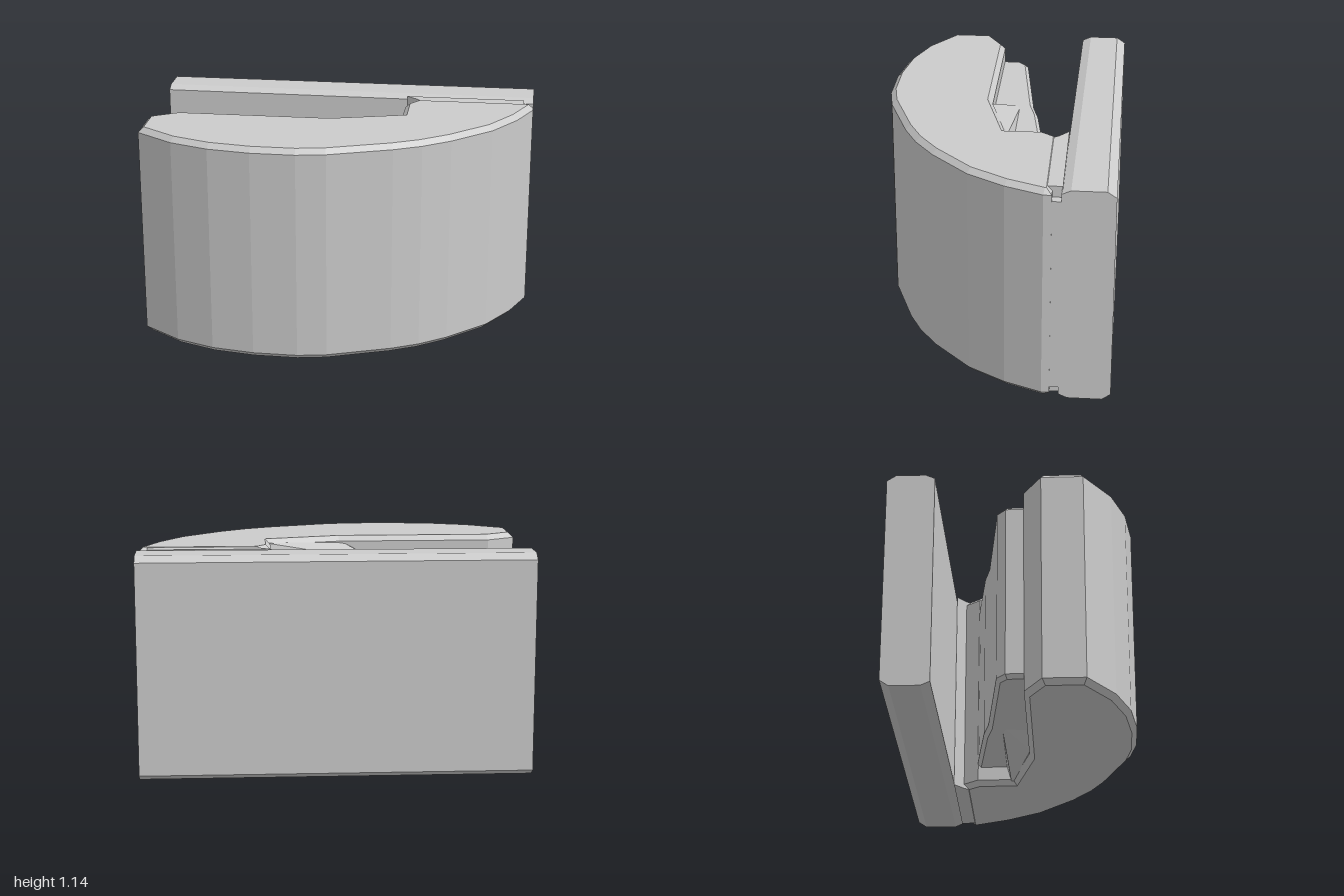
import * as THREE from 'three';
import { ConvexGeometry } from 'three/addons/geometries/ConvexGeometry.js';

const H = 1.145;
const material = new THREE.MeshStandardMaterial({ color: 0xcccccc, flatShading: true });

// Plan outline given as [x, z], extruded upward between y0 and y1 with chamfered rims.
function slab(outline, y0, y1, bevel) {
  const shape = new THREE.Shape(outline.map(([x, z]) => new THREE.Vector2(x, -z)));
  const geo = new THREE.ExtrudeGeometry(shape, {
    depth: y1 - y0 - 2 * bevel, bevelEnabled: bevel > 0, bevelSegments: 1,
    bevelSize: bevel, bevelThickness: bevel, bevelOffset: -bevel,
  });
  return geo.rotateX(-Math.PI / 2).translate(0, y0 + bevel, 0);
}

export function createModel() {
  const group = new THREE.Group();
  const add = (name, geo) => {
    const mesh = new THREE.Mesh(geo, material);
    mesh.name = name;
    group.add(mesh);
  };

  // Back plate: chamfered section swept along x, inner face tapering to the open end
  const section = [[-0.615, 0.03], [-0.57, 0], [-0.4, 0], [-0.355, 0.02],
    [-0.355, H - 0.02], [-0.4, H], [-0.57, H], [-0.615, H - 0.03]];
  const plate = new THREE.ExtrudeGeometry(
    new THREE.Shape(section.map(([z, y]) => new THREE.Vector2(-z, y))),
    { depth: 2, bevelEnabled: false });
  plate.rotateY(Math.PI / 2).translate(-1, 0, 0);
  const p = plate.attributes.position;
  for (let i = 0; i < p.count; i++) {
    if (p.getX(i) < 0 && p.getZ(i) > -0.45) p.setZ(i, p.getZ(i) - 0.02);
  }
  plate.computeVertexNormals();
  add('backPlate', plate);

  // Curved front jaw with a faceted outer face
  add('frontJaw', slab([
    [-1, 0.15], [-1, 0.36], [-0.8, 0.5], [-0.6, 0.575], [-0.38, 0.61], [-0.15, 0.613],
    [0, 0.587], [0.32, 0.47], [0.46, 0.4], [0.6, 0.3], [0.8, 0.11], [0.92, -0.08],
    [1, -0.27], [1, -0.31], [0.38, -0.31], [0.32, -0.23], [0.32, -0.04],
    [-0.05, 0.06], [-0.85, 0.06],
  ], 0, H, 0.027));

  // Hinge web joining jaw and plate, stepped at the side to leave small notches
  add('hingeWeb', slab([[0.32, -0.36], [0.38, -0.31], [0.42, -0.25], [0.95, -0.25],
    [0.95, -0.36]], 0.003, H - 0.003, 0));
  add('hingeSide', slab([[0.9, -0.36], [0.9, -0.28], [0.998, -0.28], [0.998, -0.36]],
    0.06, H - 0.06, 0));

  // Recessed grip pad inside the slot
  add('gripPad', slab([[-0.85, 0.1], [0.34, 0.1], [0.34, -0.235], [0.22, -0.22],
    [-0.1, -0.175], [-0.22, -0.145], [-0.8, -0.075], [-0.85, -0.03]], 0.1, H - 0.1, 0.02));

  // Sloping fillets between the pad and the jaw, top and bottom
  for (const top of [true, false]) {
    const pts = [[0.33, 0.02, -0.05], [-0.06, 0.03, 0.08], [0.33, 0.03, 0.08],
      [-0.23, 0.11, -0.075], [0.33, 0.11, -0.075], [-0.23, 0.12, 0.08], [0.33, 0.14, 0.08]]
      .map(([x, d, z]) => new THREE.Vector3(x, top ? H - d : d, z));
    add(top ? 'upperFillet' : 'lowerFillet', new ConvexGeometry(pts));
  }
  return group;
}
